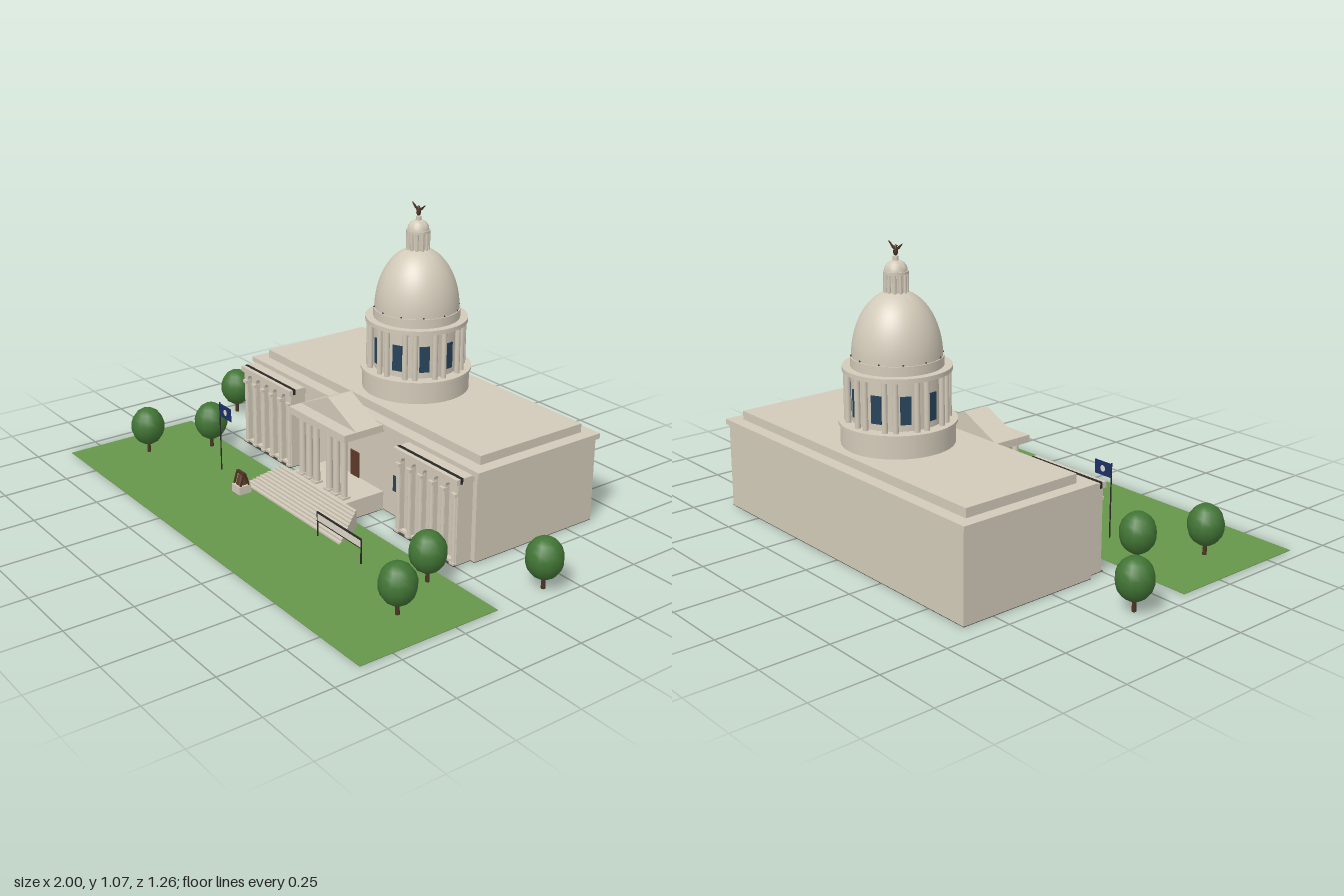
import * as THREE from 'three';
import { toCreasedNormals } from 'three/addons/utils/BufferGeometryUtils.js';

const paint = (name, color, extra = {}) => {
  const m = new THREE.MeshStandardMaterial({ color, ...extra });
  m.name = name;
  return m;
};

export function createModel() {
  const stone = paint('stone', 0xd2cab9);
  const footing = paint('footing', 0x45443c);
  const grass = paint('grass', 0x67964a);
  const leaf = paint('leaf', 0x427535);
  const bark = paint('bark', 0x4a3424);
  const glass = paint('windowBlue', 0x27435a);
  const doorBrown = paint('doorBrown', 0x5e3a29);
  const iron = paint('darkMetal', 0x2a2826);
  const flagBlue = paint('flagBlue', 0x1b2f66, { side: THREE.DoubleSide });
  const pale = paint('pale', 0xdcd8c8, { side: THREE.DoubleSide });

  const model = new THREE.Group();
  model.name = 'domedCapitol';

  const add = (parent, name, geo, mat, x = 0, y = 0, z = 0) => {
    const m = new THREE.Mesh(geo, mat);
    m.name = name;
    m.position.set(x, y, z);
    parent.add(m);
    return m;
  };
  const group = (name, x = 0, y = 0, z = 0, parent = model) => {
    const g = new THREE.Group();
    g.name = name;
    g.position.set(x, y, z);
    parent.add(g);
    return g;
  };
  // box given by its limits on each axis
  const box = (parent, name, mat, [x0, x1], [y0, y1], [z0, z1]) =>
    add(parent, name, new THREE.BoxGeometry(x1 - x0, y1 - y0, z1 - z0), mat,
      (x0 + x1) / 2, (y0 + y1) / 2, (z0 + z1) / 2);
  // upright cylinder between two heights
  const drum = (parent, name, mat, r, y0, y1, x = 0, z = 0, sides = 48, rTop = r) =>
    add(parent, name, new THREE.CylinderGeometry(rTop, r, y1 - y0, sides), mat, x, (y0 + y1) / 2, z);
  const lathe = (pts, sides = 48) => toCreasedNormals(
    new THREE.LatheGeometry(pts.map(p => new THREE.Vector2(...p)), sides), 0.6);
  const outline = pts => new THREE.Shape(pts.map(p => new THREE.Vector2(...p)));
  const extrude = (shape, depth) =>
    new THREE.ExtrudeGeometry(shape, { depth, bevelEnabled: false, curveSegments: 8 });
  // column with square base and capital
  const column = (parent, x, y0, y1, z, r) => {
    const g = group('column', x, 0, z, parent);
    drum(g, 'shaft', stone, r, y0, y1, 0, 0, 14, r * 0.85);
    const w = r * 1.25;
    box(g, 'base', stone, [-w, w], [y0, y0 + 0.008], [-w, w]);
    box(g, 'capital', stone, [-w, w], [y1 - 0.012, y1], [-w, w]);
  };

  const ground = 0.002; // walls start on top of the dark footings

  // lawn
  box(model, 'lawn', grass, [-0.955, 0.955], [0, ground], [0.075, 0.626]);

  // main block
  const block = group('mainBlock');
  box(block, 'footing', footing, [-0.675, 0.675], [0, ground], [-0.622, -0.07]);
  box(block, 'walls', stone, [-0.675, 0.675], [ground, 0.32], [-0.622, -0.07]);
  box(block, 'cornice', stone, [-0.687, 0.687], [0.32, 0.34], [-0.63, -0.064]);
  box(block, 'attic', stone, [-0.64, 0.64], [0.34, 0.373], [-0.583, -0.113]);

  for (const s of [-1, 1]) {
    // front windows beside the portico
    box(block, 'window', glass, [s * 0.246 - 0.016, s * 0.246 + 0.016], [0.1, 0.16], [-0.072, -0.066]);

    // projecting wing with an arcade
    const wing = group('wing', s * 0.49);
    box(wing, 'footing', footing, [-0.165, 0.165], [0, ground], [-0.07, 0.006]);
    box(wing, 'wingWall', stone, [-0.165, 0.165], [ground, 0.3], [-0.07, -0.024]);
    box(wing, 'wingTop', stone, [-0.17, 0.17], [0.3, 0.323], [-0.07, -0.023]);
    box(wing, 'darkFrieze', iron, [-0.168, 0.168], [0.302, 0.324], [-0.023, -0.01]);
    box(wing, 'frontFascia', stone, [-0.17, 0.17], [0.302, 0.323], [-0.01, 0.006]);
    const arcade = outline([[-0.165, ground], [0.165, ground], [0.165, 0.302], [-0.165, 0.302]]);
    const pitch = 0.06, half = 0.021;
    for (let i = -2; i <= 2; i++) {
      const hole = new THREE.Path();
      hole.moveTo(i * pitch - half, 0.012);
      hole.lineTo(i * pitch + half, 0.012);
      hole.lineTo(i * pitch + half, 0.272);
      hole.absarc(i * pitch, 0.272, half, 0, Math.PI, false);
      hole.closePath();
      arcade.holes.push(hole);
    }
    add(wing, 'arcade', extrude(arcade, 0.019), stone, 0, 0, -0.024);
    for (let i = 0; i < 6; i++) column(wing, (i - 2.5) * pitch, ground, 0.268, -0.006, 0.009);
  }

  // portico
  const portico = group('portico');
  box(portico, 'footing', footing, [-0.17, 0.17], [0, ground], [-0.07, 0.1]);
  box(portico, 'podium', stone, [-0.17, 0.17], [ground, 0.072], [-0.07, 0.1]);
  box(portico, 'entablature', stone, [-0.172, 0.172], [0.31, 0.337], [-0.072, 0.108]);
  box(portico, 'door', doorBrown, [-0.025, 0.025], [0.072, 0.172], [-0.072, -0.065]);
  for (const s of [-1, 1]) for (const x of [0.04, 0.085, 0.13]) column(portico, s * x, 0.072, 0.31, 0.078, 0.0135);
  add(portico, 'pediment', extrude(outline([[-0.172, 0], [0.172, 0], [0, 0.08]]), 0.105), stone, 0, 0.336, -0.05);

  // stairs that widen towards the bottom
  const stairs = group('stairs', 0, ground);
  const steps = 10;
  for (let i = 0; i < steps; i++) {
    const z0 = 0.1 + 0.125 * i / steps, z1 = 0.1 + 0.125 * (i + 1) / steps;
    const w0 = 0.235 + 0.07 * i / steps, w1 = 0.235 + 0.07 * (i + 1) / steps;
    const tread = outline([[-w1, -z1], [w1, -z1], [w0, -z0], [-w0, -z0]]);
    add(stairs, 'step', extrude(tread, 0.07 * (steps - i) / steps).rotateX(-Math.PI / 2), stone);
  }

  // rotunda and dome
  const rotunda = group('rotunda', 0, 0, -0.35);
  drum(rotunda, 'drumBase', stone, 0.2, 0.37, 0.447);
  drum(rotunda, 'drumLedge', stone, 0.207, 0.447, 0.457);
  drum(rotunda, 'innerDrum', stone, 0.16, 0.457, 0.632);
  drum(rotunda, 'drumCornice', stone, 0.19, 0.632, 0.648);
  drum(rotunda, 'domeBase', stone, 0.161, 0.648, 0.682);
  for (let k = 0; k < 10; k++) {
    const a = THREE.MathUtils.degToRad(-10 + 36 * k);
    const w = add(rotunda, 'drumWindow', new THREE.BoxGeometry(0.037, 0.098, 0.009), glass,
      Math.sin(a) * 0.16, 0.53, Math.cos(a) * 0.16);
    w.rotation.y = a;
    for (const d of [12, 24]) {
      const b = a + THREE.MathUtils.degToRad(d);
      drum(rotunda, 'drumColumn', stone, 0.01, 0.457, 0.632, Math.sin(b) * 0.176, Math.cos(b) * 0.176, 12);
    }
  }
  const domeProfile = [];
  for (let i = 0; i <= 20; i++) {
    const t = i / 20 * Math.PI / 2;
    domeProfile.push([0.157 * Math.cos(t), 0.68 + 0.23 * Math.sin(t)]);
  }
  add(rotunda, 'dome', lathe(domeProfile), stone);
  for (let k = 0; k < 12; k++) {
    const a = k * Math.PI / 6;
    add(rotunda, 'domeLamp', new THREE.SphereGeometry(0.003, 8, 6), iron, Math.sin(a) * 0.158, 0.686, Math.cos(a) * 0.158);
  }

  // lantern
  drum(rotunda, 'lanternCore', stone, 0.037, 0.89, 0.972, 0, 0, 24);
  for (let k = 0; k < 12; k++) {
    const a = (k + 0.5) * Math.PI / 6;
    drum(rotunda, 'lanternColumn', stone, 0.006, 0.89, 0.972, Math.sin(a) * 0.038, Math.cos(a) * 0.038, 8);
  }
  add(rotunda, 'lanternCap', lathe([[0.044, 0.965], [0.044, 0.974], [0.04, 0.974], [0.038, 0.988], [0.03, 1.0],
    [0.018, 1.008], [0.01, 1.01], [0.01, 1.024], [0, 1.026]], 24), stone);

  // bird with raised wings
  const bird = group('bird', 0, 1.024, 0, rotunda);
  add(bird, 'birdBody', lathe([[0, 0], [0.006, 0.004], [0.009, 0.014], [0.006, 0.026], [0.005, 0.034], [0, 0.04]], 10), bark);
  add(bird, 'beak', new THREE.ConeGeometry(0.003, 0.008, 6).rotateX(Math.PI / 2), bark, 0, 0.034, 0.007);
  for (const s of [-1, 1]) {
    const feather = outline([[0, 0.016], [0.018, 0.026], [0.037, 0.046], [0.016, 0.034], [0, 0.026]]
      .map(([x, y]) => [s * x, y]));
    add(bird, 'birdWing', extrude(feather, 0.005), bark, 0, 0, -0.0025);
  }

  // flagpole
  const flag = group('flagpole', -0.47, 0, 0.226);
  drum(flag, 'pole', iron, 0.0025, ground, 0.283, 0, 0, 8);
  box(flag, 'flag', flagBlue, [0.002, 0.08], [0.227, 0.279], [-0.001, 0.001]);
  for (const s of [-1, 1])
    add(flag, 'flagDisc', new THREE.CircleGeometry(0.012, 16), pale, 0.041, 0.253, s * 0.002);

  // bell on a pedestal, hung in a dark frame
  const bell = group('bellMonument', -0.257, 0, 0.27);
  box(bell, 'pedestal', stone, [-0.026, 0.026], [ground, 0.034], [-0.026, 0.026]);
  add(bell, 'bell', lathe([[0, 0.036], [0.021, 0.036], [0.018, 0.046], [0.014, 0.06], [0.011, 0.071], [0, 0.076]], 16), doorBrown);
  for (const s of [-1, 1]) for (const t of [-1, 1]) {
    const leg = box(bell, 'frameLeg', bark, [s * 0.022 - 0.003, s * 0.022 + 0.003], [0.033, 0.081], [-0.003, 0.003]);
    leg.position.z = t * 0.011;
    leg.rotation.x = -t * 0.3;
  }
  box(bell, 'frameBeam', bark, [-0.025, 0.025], [0.076, 0.084], [-0.006, 0.006]);

  // sign board
  const sign = group('signBoard', 0.328, 0, 0.245);
  box(sign, 'panel', pale, [-0.126, 0.126], [0.062, 0.093], [-0.002, 0.002]);
  box(sign, 'topRail', iron, [-0.128, 0.128], [0.091, 0.096], [-0.003, 0.003]);
  box(sign, 'bottomRail', iron, [-0.128, 0.128], [0.06, 0.063], [-0.003, 0.003]);
  for (const s of [-1, 1]) drum(sign, 'signPost', iron, 0.003, ground, 0.096, s * 0.127, 0, 8);

  // trees
  const spots = [[-0.936, -0.14], [-0.684, 0.14], [-0.786, 0.37], [0.936, -0.14], [0.68, 0.14], [0.786, 0.35]];
  for (const [x, z] of spots) {
    const tree = group('tree', x, 0, z);
    drum(tree, 'trunk', bark, 0.008, 0, 0.06, 0, 0, 8, 0.006);
    add(tree, 'crown', new THREE.SphereGeometry(0.066, 12, 9), leaf, 0, 0.113, 0).scale.y = 1.15;
  }
  return model;
}
